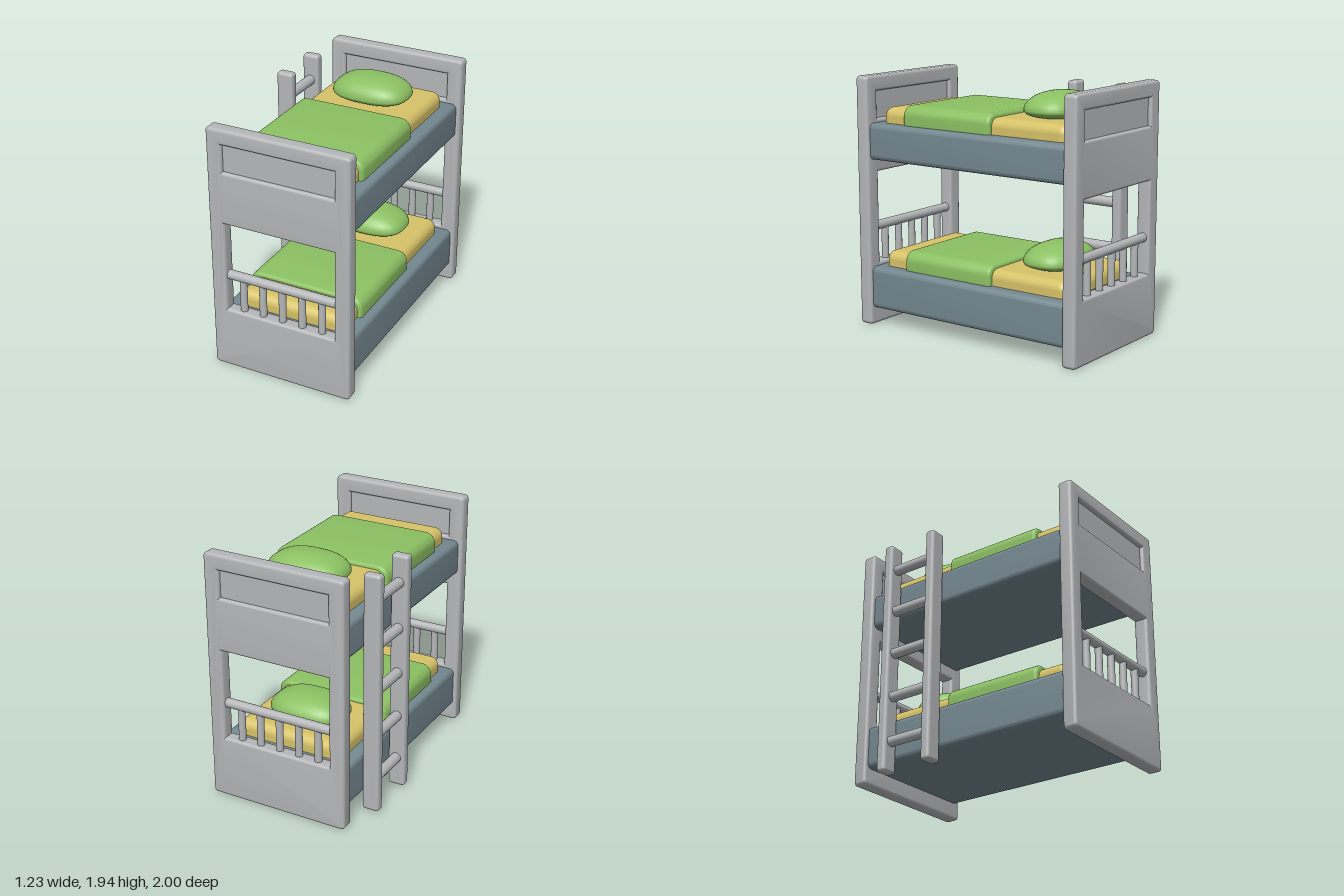
import * as THREE from 'three';
import { toCreasedNormals } from 'three/addons/utils/BufferGeometryUtils.js';
import { RoundedBoxGeometry } from 'three/addons/geometries/RoundedBoxGeometry.js';

const CX = 0.05; // centre line of the beds (the ladder hangs on the right side)

const material = (name, color) => {
  const m = new THREE.MeshStandardMaterial({ color });
  m.name = name;
  return m;
};

function add(parent, name, geometry, mat, x = 0, y = 0, z = 0) {
  const mesh = new THREE.Mesh(geometry, mat);
  mesh.name = name;
  mesh.position.set(x, y, z);
  parent.add(mesh);
  return mesh;
}

// Rectangle outline with rounded corners
function roundRect(x0, x1, y0, y1, r, Type = THREE.Shape) {
  const s = new Type();
  s.absarc(x1 - r, y0 + r, r, -Math.PI / 2, 0);
  s.absarc(x1 - r, y1 - r, r, 0, Math.PI / 2);
  s.absarc(x0 + r, y1 - r, r, Math.PI / 2, Math.PI);
  s.absarc(x0 + r, y0 + r, r, Math.PI, Math.PI * 1.5);
  s.closePath();
  return s;
}

// Extrusion centred on z with rounded rims that stay inside the outline
function softExtrude(shape, depth, bevel) {
  const g = new THREE.ExtrudeGeometry(shape, {
    depth: depth - 2 * bevel, bevelEnabled: true, bevelThickness: bevel,
    bevelSize: bevel, bevelOffset: -bevel, bevelSegments: 4, curveSegments: 6,
  });
  g.translate(0, 0, -depth / 2 + bevel);
  return toCreasedNormals(g, 0.6);
}

function rectHole(x0, x1, y0, y1) {
  return new THREE.Path([[x0, y0], [x0, y1], [x1, y1], [x1, y0]].map(([x, y]) => new THREE.Vector2(x, y)));
}

// Pillow: a sphere squared off in plan, with a flatter underside
function pillowGeometry() {
  const g = new THREE.SphereGeometry(1, 40, 28);
  const p = g.attributes.position;
  const v = new THREE.Vector3();
  for (let i = 0; i < p.count; i++) {
    v.fromBufferAttribute(p, i);
    const h = Math.hypot(v.x, v.z);
    if (h > 1e-6) {
      const a = v.x / h, b = v.z / h;
      const k = Math.pow(Math.pow(Math.abs(a), 2.7) + Math.pow(Math.abs(b), 2.7), -1 / 2.7);
      const r = Math.pow(h, 0.9) * k;
      v.x = a * r;
      v.z = b * r;
    }
    p.setXYZ(i, v.x * 0.305, v.y * (v.y > 0 ? 0.135 : 0.07), v.z * 0.215);
  }
  g.computeVertexNormals();
  // Share normals across the seam
  const n = g.attributes.normal;
  for (let r = 0; r <= 28; r++) {
    const a = r * 41, b = a + 40;
    v.set(n.getX(a) + n.getX(b), n.getY(a) + n.getY(b), n.getZ(a) + n.getZ(b)).normalize();
    n.setXYZ(a, v.x, v.y, v.z);
    n.setXYZ(b, v.x, v.y, v.z);
  }
  return g;
}

export function createModel() {
  const model = new THREE.Group();
  model.name = 'bunkBed';
  const grey = material('pale grey paint', 0xb4b6b8);
  const blue = material('slate blue', 0x748890);
  const yellow = material('mattress yellow', 0xd6c268);
  const green = material('bedding green', 0x8cc163);

  // End panels: open lower window with railing, recessed upper field
  const outline = roundRect(-0.51, 0.61, 0, 1.94, 0.03);
  outline.holes.push(rectHole(-0.39, 0.49, 0.49, 1.2), rectHole(-0.39, 0.49, 1.61, 1.82));
  const panelGeo = softExtrude(outline, 0.11, 0.022);
  const barGeo = new THREE.CylinderGeometry(0.036, 0.036, 0.9, 20).rotateZ(Math.PI / 2);
  const spindleGeo = new THREE.CylinderGeometry(0.028, 0.028, 0.28, 16);
  for (const side of [1, -1]) {
    const end = new THREE.Group();
    end.name = side > 0 ? 'footEnd' : 'headEnd';
    end.position.z = side * 0.945;
    add(end, 'endPanel', panelGeo, grey);
    add(end, 'recessedField', new THREE.BoxGeometry(0.9, 0.23, 0.05), grey, CX, 1.715);
    add(end, 'railingBar', barGeo, grey, CX, 0.765);
    for (let i = -2; i <= 2; i++) add(end, 'railingSpindle', spindleGeo, grey, CX - 0.003 + i * 0.161, 0.61);
    model.add(end);
  }

  // Two beds: base box, mattress, blanket and pillow
  const pillowGeo = pillowGeometry();
  const blanketGeo = softExtrude(roundRect(-0.467, 0.467, -0.22, 0, 0.08), 0.805, 0.025);
  for (const [name, bottom, top, mattressTop] of [['lowerBed', 0.13, 0.46, 0.58], ['upperBed', 1.3, 1.58, 1.7]]) {
    const bed = new THREE.Group();
    bed.name = name;
    const base = softExtrude(roundRect(-0.53, 0.53, bottom, top, 0.04), 1.82, 0.01);
    add(bed, 'bedBase', base, blue, CX);
    add(bed, 'mattress', new RoundedBoxGeometry(0.865, 0.2, 1.69, 5, 0.07), yellow, CX, mattressTop - 0.1, 0.005);
    add(bed, 'blanket', blanketGeo, green, CX, mattressTop + 0.03, 0.2125);
    add(bed, 'pillow', pillowGeo, green, CX, mattressTop + 0.05, -0.495);
    model.add(bed);
  }

  // Ladder on the right side
  const ladder = new THREE.Group();
  ladder.name = 'ladder';
  const railGeo = new RoundedBoxGeometry(0.135, 1.875, 0.08, 4, 0.025);
  for (const z of [-0.645, -0.23]) add(ladder, 'ladderRail', railGeo, grey, -0.5525, 0.9475, z);
  const rungGeo = new THREE.CylinderGeometry(0.04, 0.04, 0.4, 20).rotateX(Math.PI / 2);
  for (let i = 0; i < 5; i++) add(ladder, 'ladderRung', rungGeo, grey, -0.5525, 0.25 + i * 0.357, -0.4375);
  model.add(ladder);

  return model;
}
